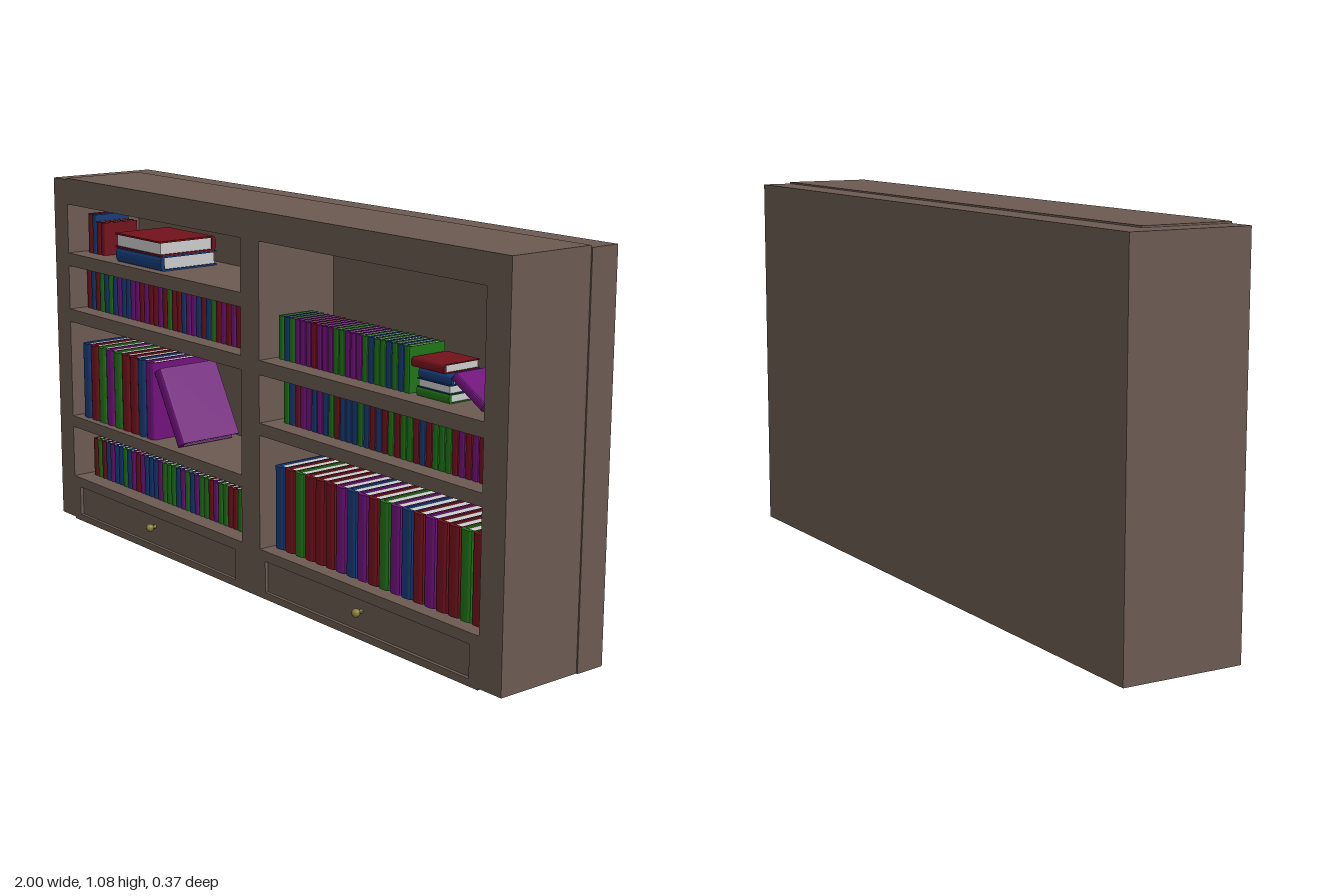
import * as THREE from 'three';

const material = (color) => new THREE.MeshStandardMaterial({ color, flatShading: true });
const wood = material(0x6b5a51);
const brass = material(0x8a7a38);
const paper = material(0xe6e6e6);
paper.side = THREE.DoubleSide;
const covers = {
  r: material(0x72121c), g: material(0x1f7318), b: material(0x163b76), p: material(0x70127a),
};

// Book sizes: width, height, depth, cover thickness
const BIG = { w: 0.0435, h: 0.235, d: 0.2, t: 0.005, front: 0.143 };
const SMALL = { w: 0.0238, h: 0.12, d: 0.12, t: 0.003, front: 0.11 };

// Wrap-around cover with a rounded spine towards +z, extruded upwards
function coverGeometry({ w, h, d, t }) {
  const s = new THREE.Shape();
  const x = w / 2, back = d / 2, spine = -d / 2 + w * 0.22;
  s.moveTo(-x, back);
  s.lineTo(-x, spine);
  s.quadraticCurveTo(-x * 0.9, -d / 2, 0, -d / 2);
  s.quadraticCurveTo(x * 0.9, -d / 2, x, spine);
  s.lineTo(x, back);
  s.lineTo(x - t, back);
  s.lineTo(x - t, spine + t);
  s.lineTo(-x + t, spine + t);
  s.lineTo(-x + t, back);
  s.closePath();
  const g = new THREE.ExtrudeGeometry(s, { depth: h, bevelEnabled: false, curveSegments: 3 });
  return g.translate(0, 0, -h / 2).rotateX(-Math.PI / 2);
}

// Page block sits inside the cover
function pagesGeometry({ w, h, d, t }) {
  const depth = d - w * 0.22 - 2 * t;
  return new THREE.BoxGeometry(w - 2 * t, h - 2 * t, depth).translate(0, 0, -d / 2 + t + depth / 2);
}

for (const size of [BIG, SMALL]) {
  size.cover = coverGeometry(size);
  size.pages = pagesGeometry(size);
}

// One book placed by its centre
function book(size, colour, x, y, tilt = 0, turned = false) {
  const g = new THREE.Group();
  g.name = 'book';
  const cover = new THREE.Mesh(size.cover, covers[colour]);
  cover.name = 'bookCover';
  const pages = new THREE.Mesh(size.pages, paper);
  pages.name = 'bookPages';
  g.add(cover, pages);
  g.position.set(x, y, size.front - size.d / 2);
  g.rotation.set(0, turned ? Math.PI : 0, tilt, 'ZYX');
  return g;
}

// Upright books side by side between x0 and x1
function bookRow(name, size, colours, x0, x1, shelfY) {
  const row = new THREE.Group();
  row.name = name;
  const step = (x1 - x0) / colours.length;
  [...colours].forEach((c, i) => {
    const b = book(size, c, x0 + (i + 0.5) * step, shelfY + size.h / 2);
    b.scale.x = (step / size.w) * 0.98;
    row.add(b);
  });
  return row;
}

// Lying books from the bottom up: [colour, centre x, pages to the front]
function bookStack(name, size, list, shelfY) {
  const stack = new THREE.Group();
  stack.name = name;
  list.forEach(([c, x, turned], i) =>
    stack.add(book(size, c, x, shelfY + (i + 0.5) * size.w, Math.PI / 2, turned)));
  return stack;
}

// Repeatable mixed colours for the small rows
function mixedColours(count, seed) {
  let s = seed, out = '';
  for (let i = 0; i < count; i++) {
    s = (s * 1103515245 + 12345) % 2147483648;
    out += 'rgbp'[Math.floor((s / 2147483648) * 4)];
  }
  return out;
}

function box(name, mat, x0, x1, y0, y1, z0, z1) {
  const m = new THREE.Mesh(new THREE.BoxGeometry(x1 - x0, y1 - y0, z1 - z0), mat);
  m.position.set((x0 + x1) / 2, (y0 + y1) / 2, (z0 + z1) / 2);
  m.name = name;
  return m;
}

export function createModel() {
  const model = new THREE.Group();
  model.name = 'bookcase';

  // Back slab
  model.add(box('backPanel', wood, -1, 1, 0.005, 1.075, -0.183, -0.095));

  // Frame with shelf and drawer openings
  const L = [-0.925, -0.043], R = [0.04, 0.915];
  const drawers = [[-0.893, -0.075, -0.49], [0.064, 0.882, 0.465]];
  const openings = [
    [...L, 0.85, 1.0], [...L, 0.675, 0.81], [...L, 0.335, 0.635], [...L, 0.14, 0.3],
    [...R, 0.675, 1.0], [...R, 0.5, 0.635], [...R, 0.14, 0.465],
    ...drawers.map(([a, b]) => [a, b, 0.02, 0.11]),
  ];
  const outline = [
    [-1, 0.005], [-0.925, 0.005], [-0.925, 0], [0.915, 0], [0.915, 0.005], [0.996, 0.005],
    [0.996, 1.08], [-0.925, 1.08], [-0.925, 1.075], [-1, 1.075],
  ];
  const face = new THREE.Shape(outline.map(([x, y]) => new THREE.Vector2(x, y)));
  for (const [a, b, c, d] of openings) {
    face.holes.push(new THREE.Path([[a, c], [a, d], [b, d], [b, c]].map(([x, y]) => new THREE.Vector2(x, y))));
  }
  const frame = new THREE.Mesh(new THREE.ExtrudeGeometry(face, { depth: 0.26, bevelEnabled: false }), wood);
  frame.position.z = -0.095;
  frame.name = 'shelfFrame';
  model.add(frame);

  // Recessed drawers with round knobs
  for (const [x0, x1, knobX] of drawers) {
    const drawer = new THREE.Group();
    drawer.name = 'drawer';
    drawer.add(box('drawerFront', wood, x0, x1, 0.02, 0.11, -0.09, 0.155));
    const stem = new THREE.Mesh(new THREE.CylinderGeometry(0.006, 0.006, 0.02, 10), brass);
    stem.rotation.x = Math.PI / 2;
    stem.position.set(knobX, 0.075, 0.163);
    stem.name = 'knobStem';
    const knob = new THREE.Mesh(new THREE.SphereGeometry(0.012, 12, 8), brass);
    knob.position.set(knobX, 0.075, 0.175);
    knob.name = 'knob';
    drawer.add(stem, knob);
    model.add(drawer);
  }

  // Left column of books
  const few = bookRow('topShelfBooks', SMALL, 'rbrr', -0.9, -0.806, 0.85);
  few.children.slice(2).forEach((b) => { b.scale.y = 0.83; b.position.y -= 0.01; });
  model.add(
    few,
    bookStack('largeStack', BIG, [['b', -0.575, false], ['r', -0.577, true]], 0.85),
    bookRow('upperLeftBooks', SMALL, 'rbrg' + mixedColours(32, 7), -0.915, -0.045, 0.675),
    bookRow('largeLeftBooks', BIG, 'brgpgrrbp', -0.9, -0.51, 0.335),
    book(BIG, 'p', -0.43, 0.449, 0.52),
    bookRow('lowerLeftBooks', SMALL, 'rgrb' + mixedColours(32, 21), -0.9, -0.045, 0.14),
  );

  // Right column of books
  model.add(
    bookRow('upperRightBooks', SMALL, 'gbg' + mixedColours(20, 33), 0.053, 0.588, 0.675),
    bookStack('smallStack', SMALL,
      [['g', 0.675, false], ['b', 0.678, true], ['b', 0.682, false], ['r', 0.655, false]], 0.675),
    book(SMALL, 'p', 0.8, 0.717, 1.06),
    bookRow('middleRightBooks', SMALL, 'gbr' + mixedColours(32, 58), 0.075, 0.913, 0.5),
    bookRow('largeRightBooks', BIG, 'brgrrrpbprgpbrprrgr', 0.075, 0.903, 0.15),
  );
  return model;
}
